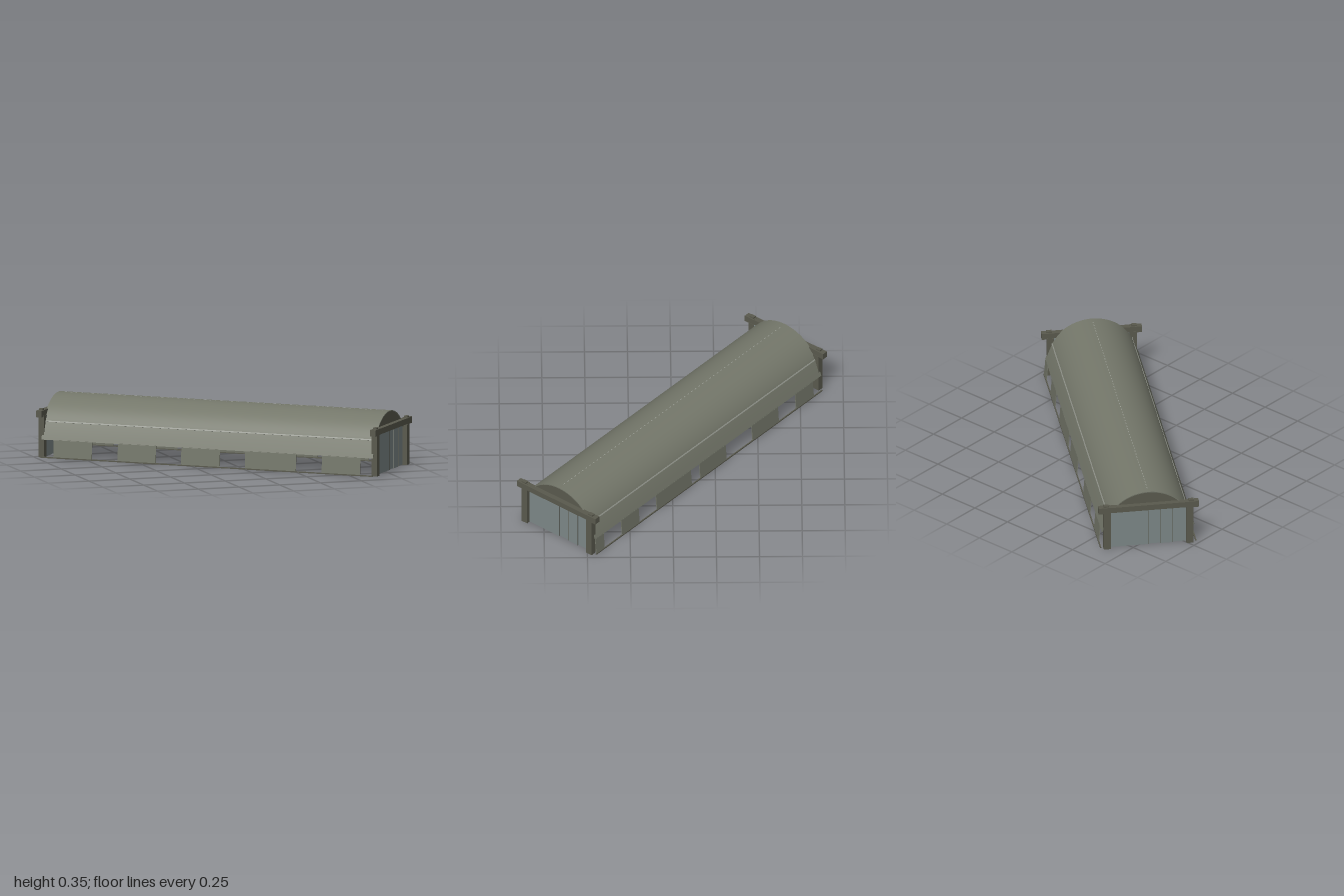
import * as THREE from 'three';
import { toCreasedNormals } from 'three/addons/utils/BufferGeometryUtils.js';

const mat = (name, color) => {
  const m = new THREE.MeshStandardMaterial({ color });
  m.name = name;
  return m;
};

export function createModel() {
  const olive = mat('olive sheeting', 0x74776a);
  const dark = mat('dark frame', 0x5a5a4e);
  const doorGrey = mat('door blue grey', 0x7d8888);
  const pale = mat('pale trim', 0x9a9d94);

  const root = new THREE.Group();
  root.name = 'hangar';
  const hall = new THREE.Group();
  hall.name = 'hall';
  hall.rotation.y = THREE.MathUtils.degToRad(-40); // stands diagonally
  root.add(hall);

  const box = (parent, name, material, sx, sy, sz, x, y, z) => {
    const m = new THREE.Mesh(new THREE.BoxGeometry(sx, sy, sz), material);
    m.name = name;
    m.position.set(x, y, z);
    parent.add(m);
    return m;
  };

  // Vault section: round top, straight steep haunches
  const HALF = 1.032, R = 0.267, CY = 0.083, A = 1.075, SEG = 28;
  const section = (r, eaveZ) => {
    const pts = [new THREE.Vector2(-eaveZ, 0.106)];
    for (let i = 0; i <= SEG; i++) {
      const a = -A + (2 * A * i) / SEG;
      pts.push(new THREE.Vector2(Math.sin(a) * r, CY + Math.cos(a) * r));
    }
    pts.push(new THREE.Vector2(eaveZ, 0.106));
    return pts;
  };
  const vault = new THREE.Shape([...section(R, 0.274), ...section(R - 0.005, 0.269).reverse()]);
  let geo = new THREE.ExtrudeGeometry(vault, { depth: 2 * HALF, bevelEnabled: false, steps: 1 });
  geo.translate(0, 0, -HALF);
  geo.rotateY(Math.PI / 2);
  geo = toCreasedNormals(geo, 0.3);
  const roof = new THREE.Mesh(geo, olive);
  roof.name = 'roof';
  hall.add(roof);

  // Dashed ridge seam
  for (let i = 0; i < 60; i++) {
    box(hall, 'ridgeDash', pale, 0.014, 0.002, 0.004, -1 + (i + 0.5) / 30, 0.3505, 0);
  }

  // Side walls: leaning panels with open bays, ground rails, haunch trims
  const panels = {
    '1': [[-0.955, -0.716], [-0.555, -0.318], [-0.16, 0.08], [0.238, 0.555], [0.716, 0.955]],
    '-1': [[-0.955, -0.795], [-0.636, -0.397], [-0.159, 0.08], [0.159, 0.477], [0.636, 0.795], [0.955, 1.03]],
  };
  for (const side of [1, -1]) {
    for (const [a, b] of panels[side]) {
      const p = box(hall, 'wallPanel', olive, b - a, 0.108, 0.005, (a + b) / 2, 0.055, side * 0.275);
      p.rotation.x = -side * 0.08;
    }
    box(hall, 'groundRail', dark, 2 * HALF, 0.007, 0.007, 0, 0.0035, side * 0.28);
    const trim = box(hall, 'haunchTrim', pale, 2 * HALF, 0.007, 0.003, 0, 0.21, side * 0.2355);
    trim.rotation.x = -side * 0.4;
  }

  // End portal, built once and turned for the far end
  const portal = () => {
    const g = new THREE.Group();
    g.name = 'endPortal';
    box(g, 'beam', dark, 0.034, 0.034, 0.56, 1.041, 0.259, 0);
    for (const s of [1, -1]) {
      box(g, 'post', dark, 0.034, 0.245, 0.042, 1.037, 0.1225, s * 0.243);
      box(g, 'beamEnd', dark, 0.036, 0.038, 0.07, 1.04, 0.258, s * 0.26);
      box(g, 'beamCap', dark, 0.022, 0.01, 0.03, 1.04, 0.281, s * 0.25);
    }
    // Gable fills the vault above the beam
    const g0 = 0.245, a0 = Math.acos((g0 - CY) / (R - 0.005));
    const pts = [];
    for (let i = 0; i <= 20; i++) {
      const a = -a0 + (2 * a0 * i) / 20;
      pts.push(new THREE.Vector2(Math.sin(a) * (R - 0.005), CY + Math.cos(a) * (R - 0.005)));
    }
    const gg = new THREE.ExtrudeGeometry(new THREE.Shape(pts), { depth: 0.006, bevelEnabled: false });
    gg.rotateY(Math.PI / 2);
    gg.translate(1.022, 0, 0);
    const gable = new THREE.Mesh(gg, dark);
    gable.name = 'gable';
    g.add(gable);
    // Sliding door leaves with slightly staggered planes
    const edges = [-0.224, -0.14, -0.07, 0, 0.224];
    for (let i = 0; i < 4; i++) {
      const w = edges[i + 1] - edges[i];
      box(g, 'doorLeaf', doorGrey, 0.006, 0.242, w, 1.022 + (i % 2) * 0.006, 0.122, edges[i] + w / 2);
      if (i) box(g, 'doorSeam', dark, 0.003, 0.242, 0.003, 1.031, 0.122, edges[i]);
    }
    return g;
  };
  hall.add(portal());
  const far = portal();
  far.rotation.y = Math.PI;
  hall.add(far);

  return root;
}
